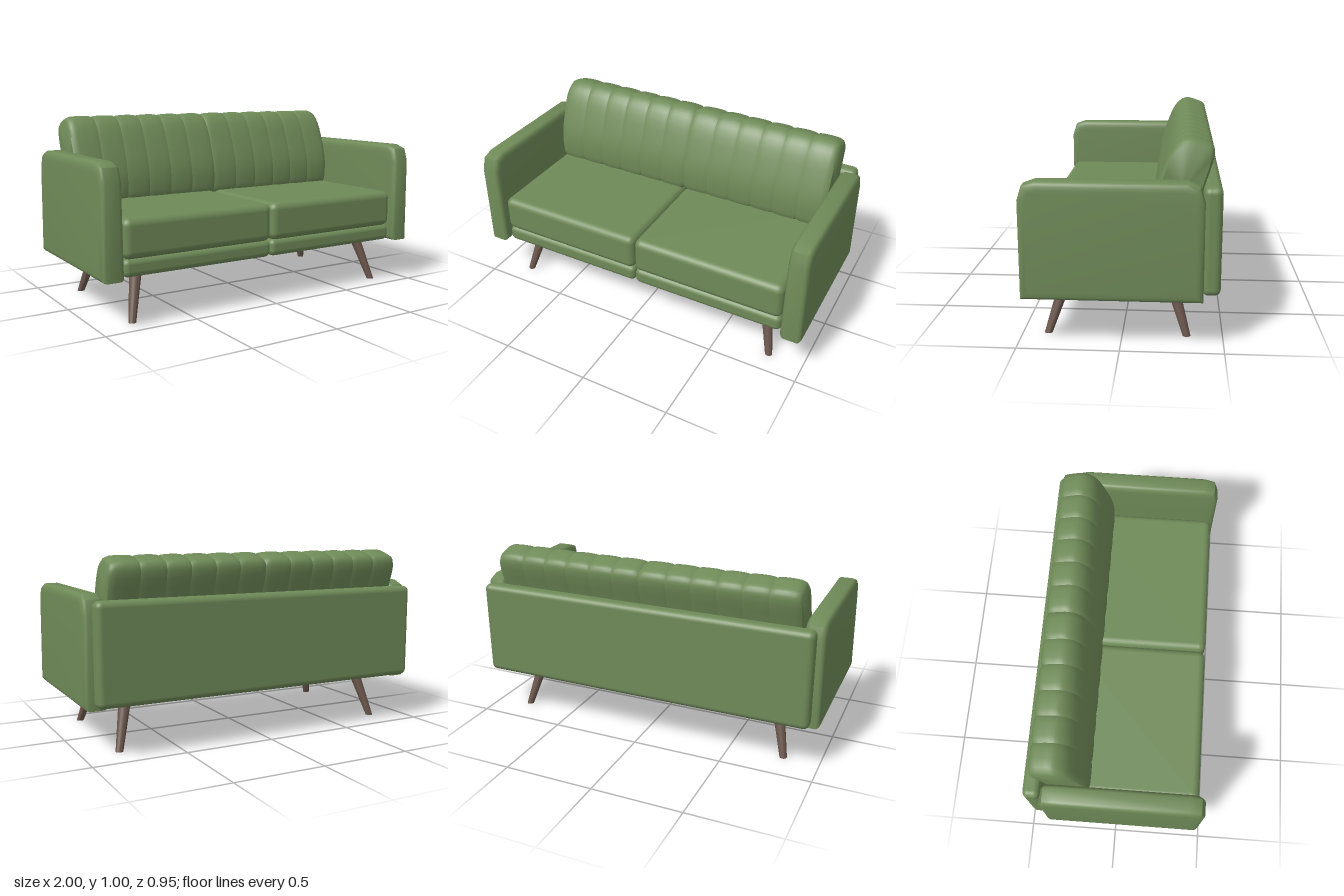
import * as THREE from 'three';
import { mergeVertices, toCreasedNormals } from 'three/addons/utils/BufferGeometryUtils.js';
import { RoundedBoxGeometry } from 'three/addons/geometries/RoundedBoxGeometry.js';

const fabric = new THREE.MeshStandardMaterial({ color: 0x6f8a58 });
fabric.name = 'green fabric';
const wood = new THREE.MeshStandardMaterial({ color: 0x6a564c });
wood.name = 'brown wood';

function add(group, name, geometry, material) {
  const mesh = new THREE.Mesh(geometry, material);
  mesh.name = name;
  group.add(mesh);
  return mesh;
}

// Rounded box given by its limits on each axis
function box([x0, x1], [y0, y1], [z0, z1], radius) {
  const g = new RoundedBoxGeometry(x1 - x0, y1 - y0, z1 - z0, 4, radius);
  return g.translate((x0 + x1) / 2, (y0 + y1) / 2, (z0 + z1) / 2);
}

// Apply a rule to every vertex
function deform(g, rule) {
  const p = g.attributes.position;
  const v = new THREE.Vector3();
  for (let i = 0; i < p.count; i++) {
    v.fromBufferAttribute(p, i);
    rule(v);
    p.setXYZ(i, v.x, v.y, v.z);
  }
  return g;
}

function smooth(g, crease) {
  g.deleteAttribute('normal');
  g.deleteAttribute('uv');
  return toCreasedNormals(mergeVertices(g, 1e-4), crease);
}

// Padded arm: side outline with a soft bevel, slightly thicker at the bottom
function armGeometry(side) {
  const outline = [
    [0.435, 0.285], [0.435, 0.72], [0.42, 0.767], [0.385, 0.78], [-0.305, 0.78],
    [-0.34, 0.765], [-0.355, 0.72], [-0.355, 0.285],
  ].map(([z, y]) => new THREE.Vector2(z, y));
  const g = new THREE.ExtrudeGeometry(new THREE.Shape(outline), {
    depth: 0.07, bevelThickness: 0.025, bevelSize: 0.04, bevelSegments: 4,
  });
  g.translate(0, 0, -0.035).rotateY(-Math.PI / 2);
  deform(g, (v) => {
    v.x = v.x * (1.04 - 0.2 * (v.y - 0.3)) + side * 0.9375;
  });
  return smooth(g, 0.75);
}

// Side profile of the leaning back cushion as [z, y]
const profile = new THREE.CatmullRomCurve3([
  [-0.155, 0.53], [-0.3, 0.52], [-0.335, 0.55], [-0.37, 0.69], [-0.402, 0.8], [-0.438, 0.93],
  [-0.427, 0.968], [-0.38, 0.99], [-0.32, 1.005], [-0.277, 0.99], [-0.235, 0.945],
  [-0.182, 0.82], [-0.147, 0.7], [-0.14, 0.6],
].map(([z, y]) => new THREE.Vector3(0, y, z)), true, 'centripetal').getPoints(42).slice(0, -1);

// One padded channel lofted across x, pinched at both ends
function channelGeometry(x0, x1, pinch0, pinch1) {
  const cy = 0.76, cz = -0.285;
  const ease = [[0, 1], [0.012, 0.4], [0.035, 0.1]];
  const sections = [
    ...ease.map(([d, k]) => [x0 + d, 1 - pinch0 * k]),
    [(x0 + x1) / 2, 1],
    ...ease.map(([d, k]) => [x1 - d, 1 - pinch1 * k]).reverse(),
  ];
  const n = profile.length;
  const pos = [];
  const index = [];
  for (const [x, s] of sections) {
    for (const p of profile) pos.push(x, cy + (p.y - cy) * s, cz + (p.z - cz) * s);
  }
  const last = (sections.length - 1) * n;
  const start = sections.length * n;
  pos.push(x0, cy, cz, x1, cy, cz);
  for (let j = 0; j < n; j++) {
    const k = (j + 1) % n;
    for (let r = 0; r < last; r += n) {
      index.push(r + j, r + k, r + n + j, r + k, r + n + k, r + n + j);
    }
    index.push(start, k, j, start + 1, last + j, last + k);
  }
  const g = new THREE.BufferGeometry();
  g.setAttribute('position', new THREE.Float32BufferAttribute(pos, 3));
  g.setIndex(index);
  return toCreasedNormals(g, 0.9);
}

// Tapered leg, sheared so both ends stay level
function legGeometry(top, foot) {
  const height = 0.27;
  const g = new THREE.CylinderGeometry(0.034, 0.02, height, 20);
  g.translate(0, height / 2, 0);
  deform(g, (v) => {
    const t = v.y / height;
    v.x += foot[0] + (top[0] - foot[0]) * t;
    v.z += foot[1] + (top[1] - foot[1]) * t;
  });
  return smooth(g, 0.7);
}

export function createModel() {
  const sofa = new THREE.Group();
  sofa.name = 'sofa';

  // Back panel
  add(sofa, 'backPanel', box([-0.955, 0.955], [0.265, 0.793], [-0.477, -0.387], 0.032), fabric);

  for (const side of [-1, 1]) {
    const label = side > 0 ? 'left' : 'right';
    const span = side > 0 ? [0.001, 0.872] : [-0.872, -0.001];

    // Base, seat cushion and arm
    add(sofa, label + 'Base', box(span, [0.25, 0.343], [-0.42, 0.45], 0.03), fabric);
    add(sofa, label + 'SeatCushion', box(span, [0.338, 0.545], [-0.34, 0.457], 0.04), fabric);
    add(sofa, label + 'Arm', armGeometry(side), fabric);

    // Legs
    add(sofa, label + 'FrontLeg', legGeometry([side * 0.735, 0.285], [side * 0.802, 0.373]), wood);
    add(sofa, label + 'BackLeg', legGeometry([side * 0.735, -0.238], [side * 0.802, -0.321]), wood);
  }

  // Channelled back cushions
  const half = [0.155, 0.295, 0.435, 0.57, 0.71, 0.87];
  const seams = [...half.map((x) => -x).reverse(), 0, ...half];
  const pinch = (x) => (Math.abs(x) > 0.8 ? 0.13 : x === 0 ? 0.06 : 0.035);
  const cushions = { right: new THREE.Group(), left: new THREE.Group() };
  for (const [label, group] of Object.entries(cushions)) {
    group.name = label + 'BackCushion';
    sofa.add(group);
  }
  for (let i = 0; i < seams.length - 1; i++) {
    const [a, b] = [seams[i], seams[i + 1]];
    add(a < 0 ? cushions.right : cushions.left, 'channel', channelGeometry(a, b, pinch(a), pinch(b)), fabric);
  }

  return sofa;
}
